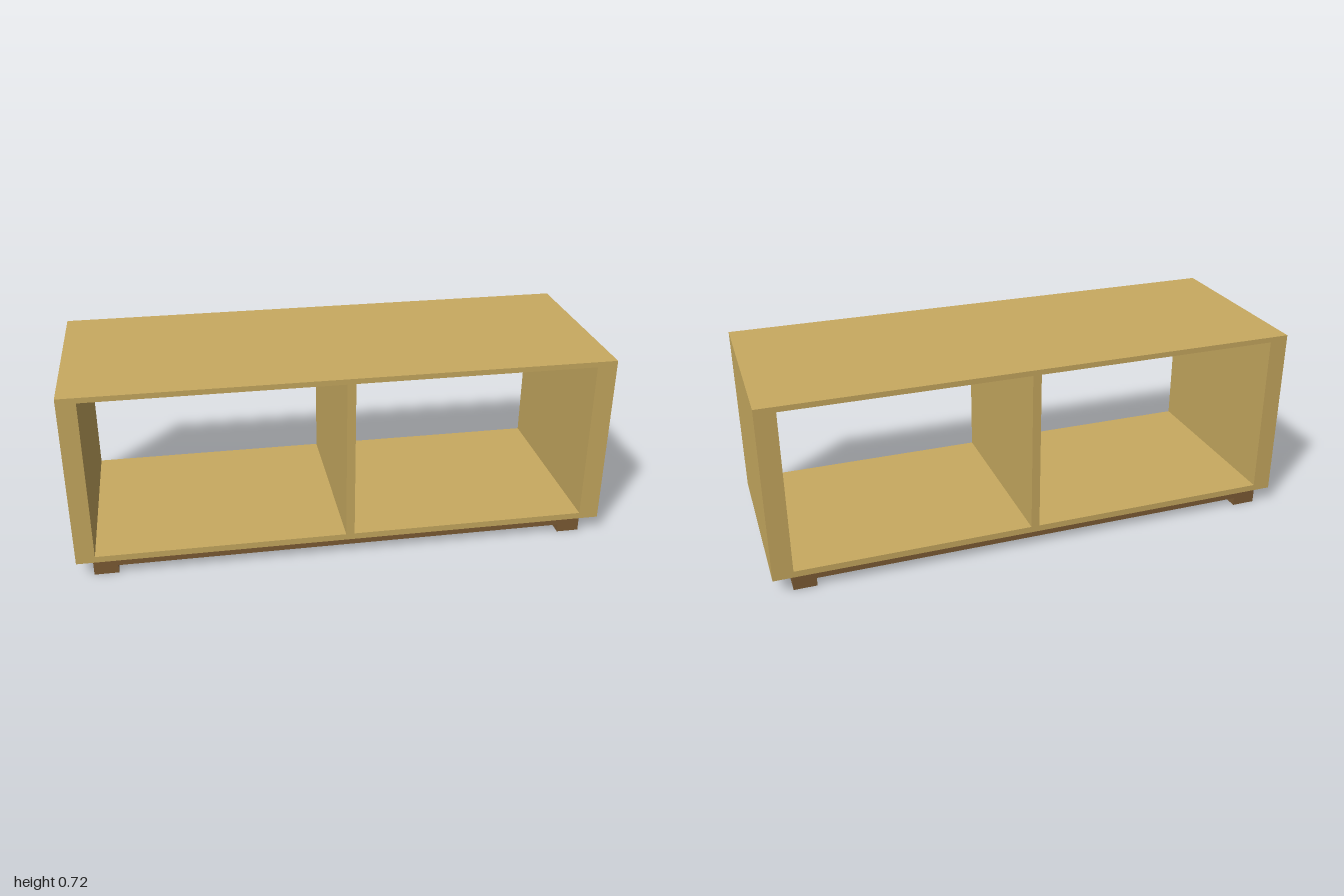
import * as THREE from 'three';

const WOOD = new THREE.MeshStandardMaterial({ color: 0xc8aa60 });
const DARK = new THREE.MeshStandardMaterial({ color: 0x7d5c35 });

// Traces a rectangle on a Shape or Path
function rect(path, x0, x1, y0, y1) {
  path.moveTo(x0, y0);
  path.lineTo(x1, y0);
  path.lineTo(x1, y1);
  path.lineTo(x0, y1);
  path.closePath();
  return path;
}

// Box given by its x and y limits, centred on z = 0
function slab(name, x0, x1, y0, y1, depth, material) {
  const mesh = new THREE.Mesh(new THREE.BoxGeometry(x1 - x0, y1 - y0, depth), material);
  mesh.position.set((x0 + x1) / 2, (y0 + y1) / 2, 0);
  mesh.name = name;
  return mesh;
}

export function createModel() {
  const group = new THREE.Group();
  group.name = 'openCabinet';

  // Cabinet frame with two compartments open front to back
  const frame = rect(new THREE.Shape(), -1, 1, 0.059, 0.723);
  for (const [x0, x1] of [[-0.93, 0], [0.032, 0.925]]) {
    frame.holes.push(rect(new THREE.Path(), x0, x1, 0.083, 0.703));
  }
  const depth = 0.74;
  const geometry = new THREE.ExtrudeGeometry(frame, { depth, bevelEnabled: false });
  geometry.translate(0, 0, -depth / 2);
  const cabinet = new THREE.Mesh(geometry, WOOD);
  cabinet.name = 'cabinetFrame';
  group.add(cabinet);

  // Runner feet and the base panel between them
  group.add(
    slab('rightRunner', -0.94, -0.85, 0, 0.059, 0.72, DARK),
    slab('leftRunner', 0.845, 0.93, 0, 0.059, 0.72, DARK),
    slab('basePanel', -0.85, 0.845, 0.032, 0.059, 0.72, DARK),
  );
  return group;
}
